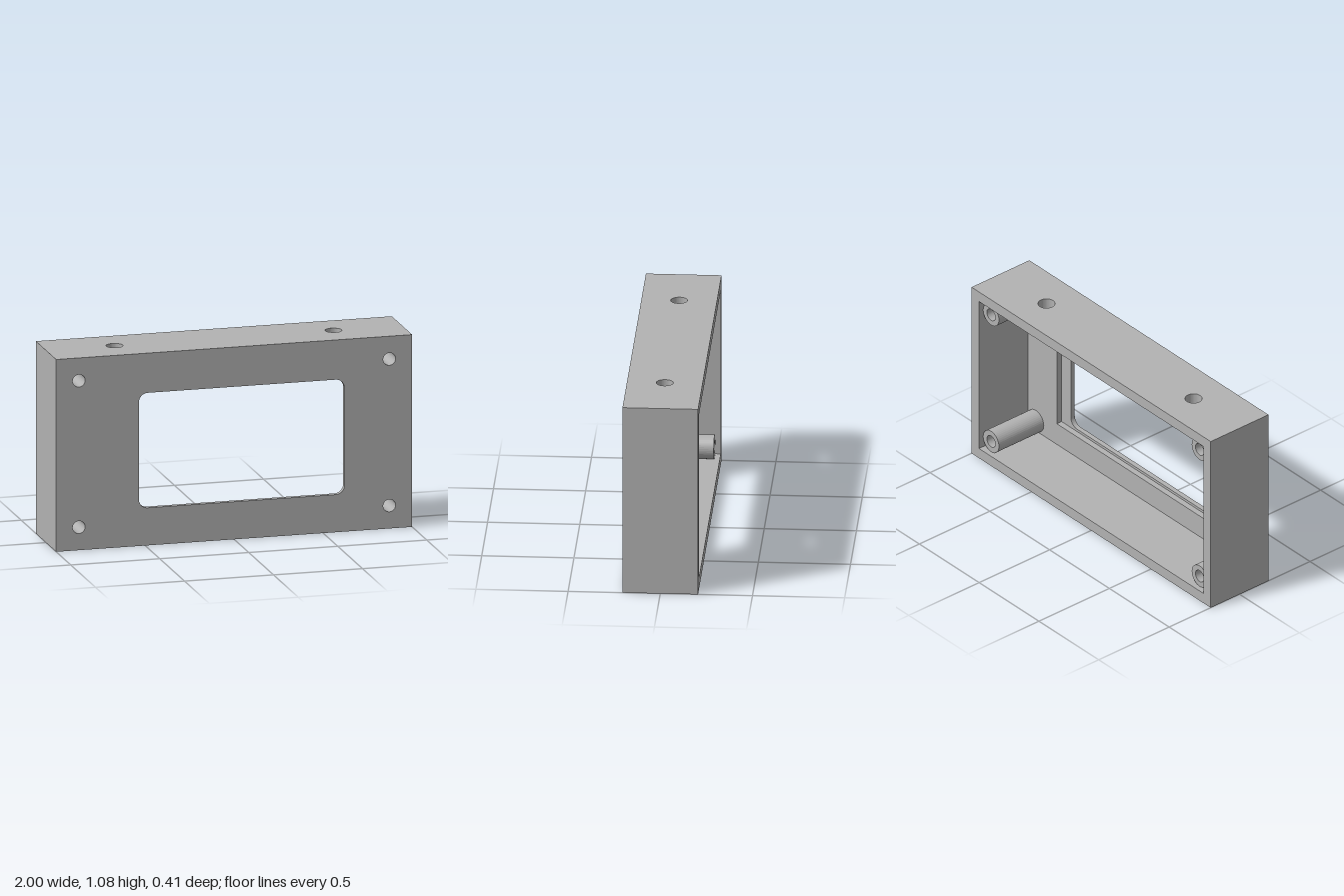
import * as THREE from 'three';

const W = 2, H = 1.075, D = 0.41;   // outer size
const WALL = 0.062;                 // wall and front panel thickness
const BACK = -D / 2, FRONT = D / 2;
const INNER = FRONT - WALL;         // inside face of the front panel
const LIP = 0.177;                  // floor of the window rebate
const INSET = 0.128;                // screw distance from the edges
const SCREW_R = 0.035, POST_R = 0.066;

function outline(path, x0, y0, x1, y1, r = 0) {
  if (r === 0) {
    path.moveTo(x0, y0).lineTo(x1, y0).lineTo(x1, y1).lineTo(x0, y1).closePath();
    return path;
  }
  path.moveTo(x0 + r, y0);
  path.absarc(x1 - r, y0 + r, r, -Math.PI / 2, 0);
  path.absarc(x1 - r, y1 - r, r, 0, Math.PI / 2);
  path.absarc(x0 + r, y1 - r, r, Math.PI / 2, Math.PI);
  path.absarc(x0 + r, y0 + r, r, Math.PI, Math.PI * 1.5);
  path.closePath();
  return path;
}

const circle = (x, y, r, Type = THREE.Path) => new Type().absarc(x, y, r, 0, Math.PI * 2);

function extrude(shape, z0, z1) {
  const g = new THREE.ExtrudeGeometry(shape, { depth: z1 - z0, bevelEnabled: false, curveSegments: 20 });
  return g.translate(0, 0, z0);
}

export function createModel() {
  const group = new THREE.Group();
  const grey = new THREE.MeshStandardMaterial({ color: 0xb2b2b2 });
  grey.name = 'grey plastic';

  const add = (name, geometry) => {
    const mesh = new THREE.Mesh(geometry, grey);
    mesh.name = name;
    group.add(mesh);
    return mesh;
  };

  const screws = [];
  for (const x of [-W / 2 + INSET, W / 2 - INSET])
    for (const y of [INSET, H - INSET]) screws.push([x, y]);

  // Front panel layer: outer rectangle, one opening and four screw holes
  const panel = (opening, z0, z1) => {
    const shape = outline(new THREE.Shape(), -W / 2, 0, W / 2, H);
    shape.holes.push(opening, ...screws.map(([x, y]) => circle(x, y, SCREW_R)));
    return extrude(shape, z0, z1);
  };
  add('frontPanel', panel(outline(new THREE.Path(), -0.535, 0.21, 0.62, 0.853, 0.05), LIP, FRONT));
  add('windowRebate', panel(outline(new THREE.Path(), -0.6, 0.195, 0.697, 0.87), INNER, LIP));

  // Side and bottom walls as one U-shaped piece
  const x = W / 2, t = WALL, top = H - WALL;
  const u = new THREE.Shape([
    [-x, 0], [x, 0], [x, top], [x - t, top], [x - t, t], [-x + t, t], [-x + t, top], [-x, top],
  ].map(([a, b]) => new THREE.Vector2(a, b)));
  add('sideAndBottomWalls', extrude(u, BACK, INNER));

  // Top wall with two round holes, drawn flat (shape y = -z) and laid down
  const lid = outline(new THREE.Shape(), -x, -INNER, x, -BACK);
  for (const s of [-1, 1]) lid.holes.push(circle(s * 0.615, 0, 0.046));
  add('topWall', extrude(lid, 0, t).rotateX(-Math.PI / 2).translate(0, top, 0));

  // Hollow screw posts, ending just short of the open back
  for (const [px, py] of screws) {
    const ring = circle(0, 0, POST_R, THREE.Shape);
    ring.holes.push(circle(0, 0, SCREW_R));
    add('screwPost', extrude(ring, BACK + 0.03, INNER)).position.set(px, py, 0);
  }
  return group;
}
